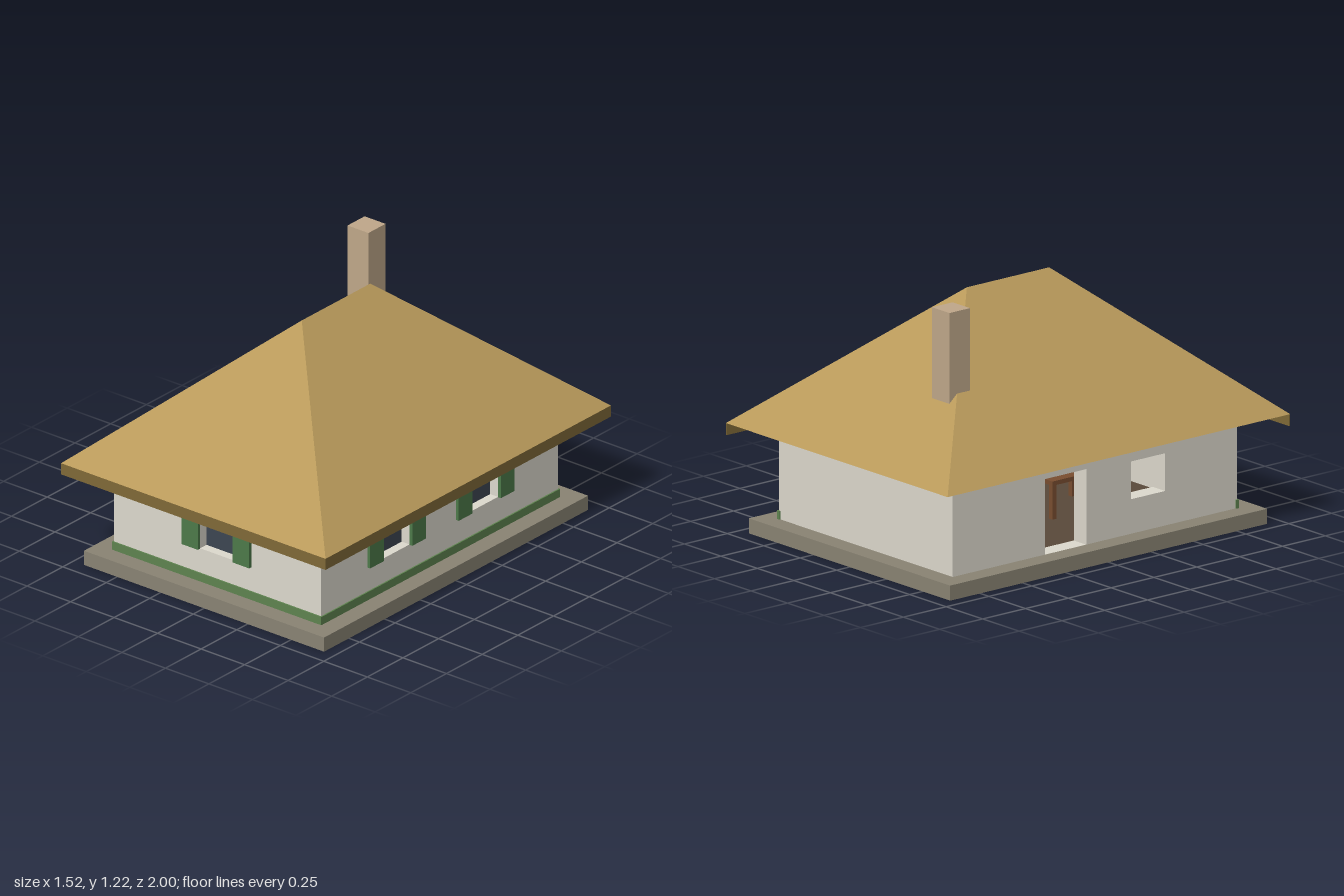
import * as THREE from 'three';

const EAVE = 0.51, RIDGE = 1.165, RX = 0.76, RZ = 1, RIDGE_Z = 0.24;
const WX = 0.595, WZ = 0.83, WALL_T = 0.085, BASE = 0.07;
const SILL = 0.23, HEAD = 0.405;

const mat = (color) => new THREE.MeshStandardMaterial({ color });
const M = {
  wall: mat(0xdedace), green: mat(0x4d7a4a), stripe: mat(0x5f8450), glass: mat(0x3d4652),
  stone: mat(0x8a8474), thatch: mat(0xb8995a), fascia: mat(0x806a38), timber: mat(0x94804a),
  chimney: mat(0xc0a88a), floor: mat(0x5a4a3a), wood: mat(0x7a4e30),
};

function mesh(name, geometry, material, parent) {
  const m = new THREE.Mesh(geometry, material);
  m.name = name;
  parent.add(m);
  return m;
}

// Box given by its minimum and maximum corners
function box(name, [x0, y0, z0], [x1, y1, z1], material, parent) {
  const m = mesh(name, new THREE.BoxGeometry(x1 - x0, y1 - y0, z1 - z0), material, parent);
  m.position.set((x0 + x1) / 2, (y0 + y1) / 2, (z0 + z1) / 2);
  return m;
}

function rect(PathType, x0, y0, x1, y1) {
  return new PathType([[x0, y0], [x1, y0], [x1, y1], [x0, y1]].map((p) => new THREE.Vector2(...p)));
}

// Wall in its own frame: outer face at z = 0, facing +z
function facade(name, half, { holes = [], windows = [], trim = false }) {
  const g = new THREE.Group();
  g.name = name;
  const shape = rect(THREE.Shape, -half, 0, half, EAVE);
  for (const u of windows) holes.push([u - 0.1, SILL, u + 0.1, HEAD]);
  for (const h of holes) shape.holes.push(rect(THREE.Path, ...h));
  const geo = new THREE.ExtrudeGeometry(shape, { depth: WALL_T, bevelEnabled: false });
  mesh('wall', geo.translate(0, 0, -WALL_T), M.wall, g);
  for (const u of windows) {
    box('windowPane', [u - 0.1, SILL, -0.055], [u + 0.1, HEAD, -0.045], M.glass, g);
    for (const s of [-1, 1]) {
      const a = u + s * 0.1, b = u + s * 0.195;
      box('shutter', [Math.min(a, b), SILL - 0.002, 0.001], [Math.max(a, b), HEAD + 0.003, 0.016], M.green, g);
    }
  }
  // Painted band along the foot of the wall
  if (trim) box('footBand', [-half - 0.006, BASE, -0.01], [half + 0.006, 0.11, 0.007], M.stripe, g);
  return g;
}

function roofGeometry() {
  const a = [-RX, EAVE, RZ], b = [RX, EAVE, RZ], c = [RX, EAVE, -RZ], d = [-RX, EAVE, -RZ];
  const f = [0, RIDGE, RIDGE_Z], r = [0, RIDGE, -RIDGE_Z];
  const tris = [a, b, f, b, c, r, b, r, f, c, d, r, d, a, f, d, f, r, d, c, b, d, b, a];
  const geo = new THREE.BufferGeometry();
  geo.setAttribute('position', new THREE.Float32BufferAttribute(tris.flat(), 3));
  geo.computeVertexNormals();
  return geo;
}

function table(name, x, z, w, d, h) {
  const g = new THREE.Group();
  g.name = name;
  box('top', [-w / 2, h - 0.02, -d / 2], [w / 2, h, d / 2], M.wood, g);
  for (const sx of [-1, 1]) for (const sz of [-1, 1]) {
    const leg = box('leg', [-0.012, 0, -0.012], [0.012, h - 0.02, 0.012], M.wood, g);
    leg.position.x = sx * (w / 2 - 0.02);
    leg.position.z = sz * (d / 2 - 0.02);
  }
  g.position.set(x, BASE, z);
  return g;
}

export function createModel() {
  const house = new THREE.Group();
  house.name = 'house';

  // Stone plinth around the walls, floor inside
  const ring = rect(THREE.Shape, -0.69, -0.925, 0.69, 0.925);
  ring.holes.push(rect(THREE.Path, -WX, -WZ, WX, WZ));
  const plinth = new THREE.ExtrudeGeometry(ring, { depth: BASE, bevelEnabled: false });
  mesh('plinth', plinth.rotateX(-Math.PI / 2), M.stone, house);
  const ix = WX - WALL_T, iz = WZ - WALL_T;
  box('floor', [-ix, 0, -iz], [ix, BASE, iz], M.floor, house);

  // Four walls: windows at front and right, door and open window at left, plain back
  const front = facade('frontWall', WX, { windows: [0], trim: true });
  front.position.z = WZ;
  const back = facade('backWall', WX, {});
  back.rotation.y = Math.PI;
  back.position.z = -WZ;
  const right = facade('sideWallWithShutters', WZ, { windows: [-0.31, 0.31], trim: true });
  right.rotation.y = Math.PI / 2;
  right.position.x = WX;
  const left = facade('entranceWall', WZ, { holes: [[-0.29, BASE, -0.05, 0.42], [0.21, SILL, 0.41, HEAD]] });
  left.rotation.y = -Math.PI / 2;
  left.position.x = -WX;
  house.add(front, back, right, left);

  // Hipped roof with boards under two eaves
  mesh('roof', roofGeometry(), M.thatch, house);
  box('frontFascia', [-RX, 0.455, RZ - 0.006], [RX, EAVE, RZ], M.fascia, house);
  box('sideFascia', [RX - 0.006, 0.455, -RZ], [RX, EAVE, RZ], M.fascia, house);

  // Rafter tails under the side eave
  for (let i = -4; i <= 4; i++) {
    const z = i * 0.167;
    box('rafterTail', [0.624, 0.42, z - 0.022], [0.646, EAVE, z + 0.022], M.timber, house);
  }

  // Chimney rising from the stove
  box('chimney', [-0.385, 0.3, -0.67], [-0.265, 1.215, -0.55], M.chimney, house);
  box('stove', [-0.4, BASE, -0.7], [-0.14, 0.3, -0.42], M.chimney, house);

  // Furniture
  house.add(table('table', -0.08, 0.25, 0.26, 0.34, 0.18));
  house.add(table('bench', 0.43, 0, 0.12, 0.5, 0.1));
  return house;
}
